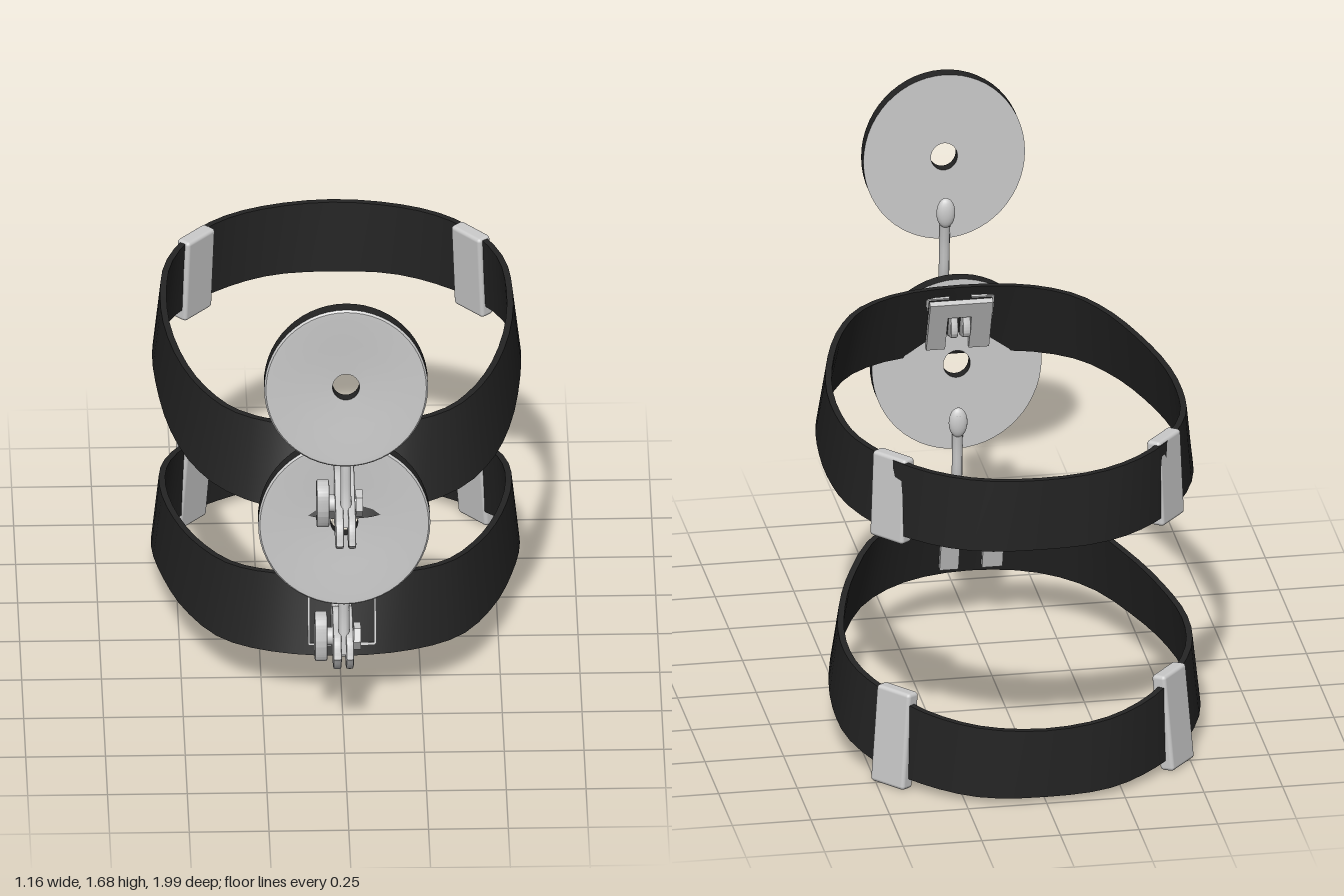
import * as THREE from 'three';
import { toCreasedNormals } from 'three/addons/utils/BufferGeometryUtils.js';
import { RoundedBoxGeometry } from 'three/addons/geometries/RoundedBoxGeometry.js';

const black = new THREE.MeshStandardMaterial({ color: 0x242424 });
black.name = 'black strap';
const silver = new THREE.MeshStandardMaterial({ color: 0xcbcbcb });
silver.name = 'silver metal';

function add(parent, name, geometry, material, pos = [0, 0, 0]) {
  const mesh = new THREE.Mesh(geometry, material);
  mesh.name = name;
  mesh.position.set(...pos);
  parent.add(mesh);
  return mesh;
}

// Closed strap. Rows run from front to back: x, z, top y, bottom y, flare in x, flare in z
function strapGeometry(rows, thickness = 0.02, steps = 56) {
  const loop = [...rows, ...rows.slice(1, -1).reverse().map(r => [-r[0], r[1], r[2], r[3], -r[4], r[5]])];
  const curve = f => new THREE.CatmullRomCurve3(loop.map(f), true);
  const top = curve(r => new THREE.Vector3(r[0], r[2], r[1]));
  const bottom = curve(r => new THREE.Vector3(r[0] + r[4], r[3], r[1] + r[5]));
  const pos = [], index = [];
  for (let i = 0; i < steps; i++) {
    const u = i / steps, t = top.getTangent(u);
    const inward = new THREE.Vector3(t.z, 0, -t.x).normalize().multiplyScalar(thickness);
    const a = bottom.getPoint(u), b = top.getPoint(u);
    for (const p of [a, b, b.clone().add(inward), a.clone().add(inward)]) pos.push(p.x, p.y, p.z);
    const j = (i + 1) % steps;
    for (let k = 0; k < 4; k++) {
      const m = (k + 1) % 4;
      index.push(i * 4 + k, j * 4 + k, j * 4 + m, i * 4 + k, j * 4 + m, i * 4 + m);
    }
  }
  const g = new THREE.BufferGeometry();
  g.setAttribute('position', new THREE.Float32BufferAttribute(pos, 3));
  g.setIndex(index);
  return toCreasedNormals(g, 0.6);
}

// Round mirror with a central hole, dark rim and bright faces
function makeMirror(rx, ry, pos) {
  const g = new THREE.Group();
  g.name = 'mirror';
  const h = 0.024, hole = 0.046;
  const lathe = (name, pts, mat) => {
    const geo = new THREE.LatheGeometry(pts.map(p => new THREE.Vector2(...p)), 56);
    geo.rotateX(Math.PI / 2);
    add(g, name, toCreasedNormals(geo, 0.5), mat);
  };
  lathe('mirrorRim', [[ry, -h], [ry, h - 0.006]], black);
  lathe('mirrorFace', [[ry, h - 0.006], [ry - 0.006, h], [ry - 0.022, h], [0.16, h - 0.008], [hole, h - 0.013]], silver);
  lathe('mirrorHole', [[hole, h - 0.013], [hole, -h]], black);
  lathe('mirrorBack', [[hole, -h], [ry, -h]], silver);
  g.scale.x = rx / ry;
  g.position.set(...pos);
  return g;
}

// Extrude a side outline (z, y) into a plate from x0 to x1
function sidePlate(points, x0, x1) {
  const shape = new THREE.Shape();
  shape.moveTo(...points[0]);
  shape.splineThru([...points.slice(1), points[0]].map(p => new THREE.Vector2(...p)));
  const bevel = 0.006;
  const geo = new THREE.ExtrudeGeometry(shape, {
    depth: x1 - x0 - 2 * bevel, bevelSize: bevel, bevelThickness: bevel, bevelSegments: 2, curveSegments: 40,
  });
  geo.rotateY(-Math.PI / 2);
  geo.translate(x1 - bevel, 0, 0);
  return toCreasedNormals(geo, 0.7);
}

// Forked pivot with a bolt, knob and hex nut
function makeClamp(pos, tilt, stretch) {
  const g = new THREE.Group();
  g.name = 'pivotClamp';
  const outline = [[0.145, 0], [0.115, 0.052], [0.03, 0.062], [-0.04, 0.074], [-0.1, 0.045], [-0.14, 0.042],
    [-0.145, -0.04], [-0.1, -0.055], [0, -0.072], [0.1, -0.055]].map(p => [p[0] * stretch, p[1]]);
  add(g, 'forkPlate', sidePlate(outline, -0.034, -0.008), silver);
  add(g, 'forkPlate', sidePlate(outline, 0.006, 0.03), silver);
  add(g, 'forkCore', new RoundedBoxGeometry(0.03, 0.08, 0.2, 2, 0.012), silver, [0, 0, -0.03]);
  const knob = [[0.05, 0], [0.035, 0.06], [0, 0.074], [-0.035, 0.06], [-0.05, 0], [-0.035, -0.06], [0, -0.07], [0.035, -0.06]];
  add(g, 'knob', sidePlate(knob, -0.09, -0.05), silver);
  const bolt = new THREE.CylinderGeometry(0.028, 0.028, 0.12, 20).rotateZ(Math.PI / 2);
  add(g, 'bolt', bolt, silver, [-0.012, 0, 0]);
  const nut = new THREE.CylinderGeometry(0.043, 0.043, 0.022, 6).rotateZ(Math.PI / 2);
  add(g, 'hexNut', toCreasedNormals(nut, 0.4), silver, [0.044, 0, 0]);
  g.position.set(...pos);
  g.rotation.x = tilt;
  return g;
}

// Bent clip behind the strap and its thin outline in front
function makeClip(pos, lean) {
  const g = new THREE.Group();
  g.name = 'strapClip';
  const s = new THREE.Shape([[-0.1, -0.1], [-0.035, -0.1], [-0.035, 0.04], [0.04, 0.04], [0.04, -0.1],
    [0.1, -0.1], [0.1, 0.1], [-0.1, 0.1]].map(p => new THREE.Vector2(...p)));
  add(g, 'innerClip', new THREE.ExtrudeGeometry(s, { depth: 0.02, bevelEnabled: false }), silver, [0, 0, -0.02]);
  for (const side of [-1, 1]) {
    add(g, 'clipEdge', new THREE.BoxGeometry(0.007, 0.2, 0.02), silver, [side * 0.104, 0, 0.017]);
    add(g, 'clipEdge', new THREE.BoxGeometry(0.07, 0.007, 0.02), silver, [side * 0.07, -0.1, 0.017]);
    add(g, 'clipEdge', new THREE.BoxGeometry(0.07, 0.007, 0.02), silver, [side * 0.07, 0.1, 0.017]);
  }
  g.position.set(...pos);
  g.rotation.x = -lean;
  return g;
}

function makeHeadMirror(o) {
  const g = new THREE.Group();
  g.name = o.name;
  add(g, 'strap', strapGeometry(o.rows), black);
  // strap sliders on both sides towards the back
  for (const side of [-1, 1]) {
    const [x, y, z] = o.buckle;
    const slider = add(g, 'slider', new RoundedBoxGeometry(0.135, o.buckleHeight, 0.05, 2, 0.012), silver, [side * x, y, z]);
    slider.rotation.set(o.buckleLean, -side * 0.86, 0, 'YXZ');
  }
  g.add(makeClip(o.clip, o.clipLean));
  g.add(makeClamp(o.pivot, o.tilt, o.stretch));
  // curved stem carrying the mirror
  const path = new THREE.CatmullRomCurve3(o.stem.map(p => new THREE.Vector3(0, p[0], p[1])));
  add(g, 'stem', new THREE.TubeGeometry(path, 20, 0.017, 10), silver);
  const end = o.stem[o.stem.length - 1];
  const pad = add(g, 'stemPad', new THREE.SphereGeometry(1, 18, 12), silver, [0, end[0] - 0.03, end[1]]);
  pad.scale.set(0.03, 0.05, 0.019);
  g.add(makeMirror(...o.mirror));
  return g;
}

export function createModel() {
  const model = new THREE.Group();
  model.name = 'headMirrors';
  model.add(makeHeadMirror({
    name: 'upperHeadMirror',
    rows: [
      [0, 0.59, 1.085, 0.81, 0, 0.11], [0.2, 0.565, 1.083, 0.825, 0.01, 0.085], [0.34, 0.48, 1.08, 0.832, 0.03, 0.06],
      [0.43, 0.34, 1.075, 0.835, 0.04, 0.03], [0.5, 0.14, 1.068, 0.842, 0.035, 0.01], [0.545, -0.1, 1.07, 0.858, 0.025, 0],
      [0.552, -0.32, 1.075, 0.862, 0.025, 0], [0.53, -0.5, 1.08, 0.852, 0.02, 0], [0.455, -0.67, 1.08, 0.838, 0.01, 0],
      [0.34, -0.8, 1.075, 0.83, 0, 0], [0.19, -0.88, 1.07, 0.828, 0, 0], [0, -0.91, 1.07, 0.828, 0, 0.01],
    ],
    buckle: [0.435, 0.945, -0.67], buckleHeight: 0.285, buckleLean: 0.05,
    clip: [0, 0.95, 0.608], clipLean: 0.4,
    pivot: [0, 0.92, 0.79], tilt: 0.2, stretch: 1.4,
    stem: [[0.9, 0.91], [1.0, 0.88], [1.12, 0.868], [1.25, 0.845]],
    mirror: [0.257, 0.28, [0, 1.4, 0.898]],
  }));
  model.add(makeHeadMirror({
    name: 'lowerHeadMirror',
    rows: [
      [0, 0.37, 0.43, 0.18, 0, 0.07], [0.2, 0.335, 0.42, 0.175, 0.01, 0.065], [0.34, 0.24, 0.4, 0.16, 0.03, 0.045],
      [0.45, 0.04, 0.37, 0.143, 0.035, 0.02], [0.52, -0.18, 0.35, 0.135, 0.03, 0.005], [0.553, -0.4, 0.338, 0.115, 0.025, 0],
      [0.535, -0.58, 0.322, 0.085, 0.025, 0], [0.455, -0.75, 0.3, 0.05, 0.015, 0], [0.35, -0.87, 0.275, 0.032, 0.005, 0],
      [0.2, -0.965, 0.258, 0.022, 0, 0], [0, -0.998, 0.25, 0.02, 0, 0.008],
    ],
    buckle: [0.443, 0.163, -0.762], buckleHeight: 0.32, buckleLean: 0.1,
    clip: [0, 0.305, 0.376], clipLean: 0.27,
    pivot: [0, 0.315, 0.555], tilt: 0, stretch: 1.02,
    stem: [[0.31, 0.66], [0.42, 0.64], [0.52, 0.635], [0.63, 0.62]],
    mirror: [0.27, 0.29, [0, 0.79, 0.668]],
  }));
  return model;
}
